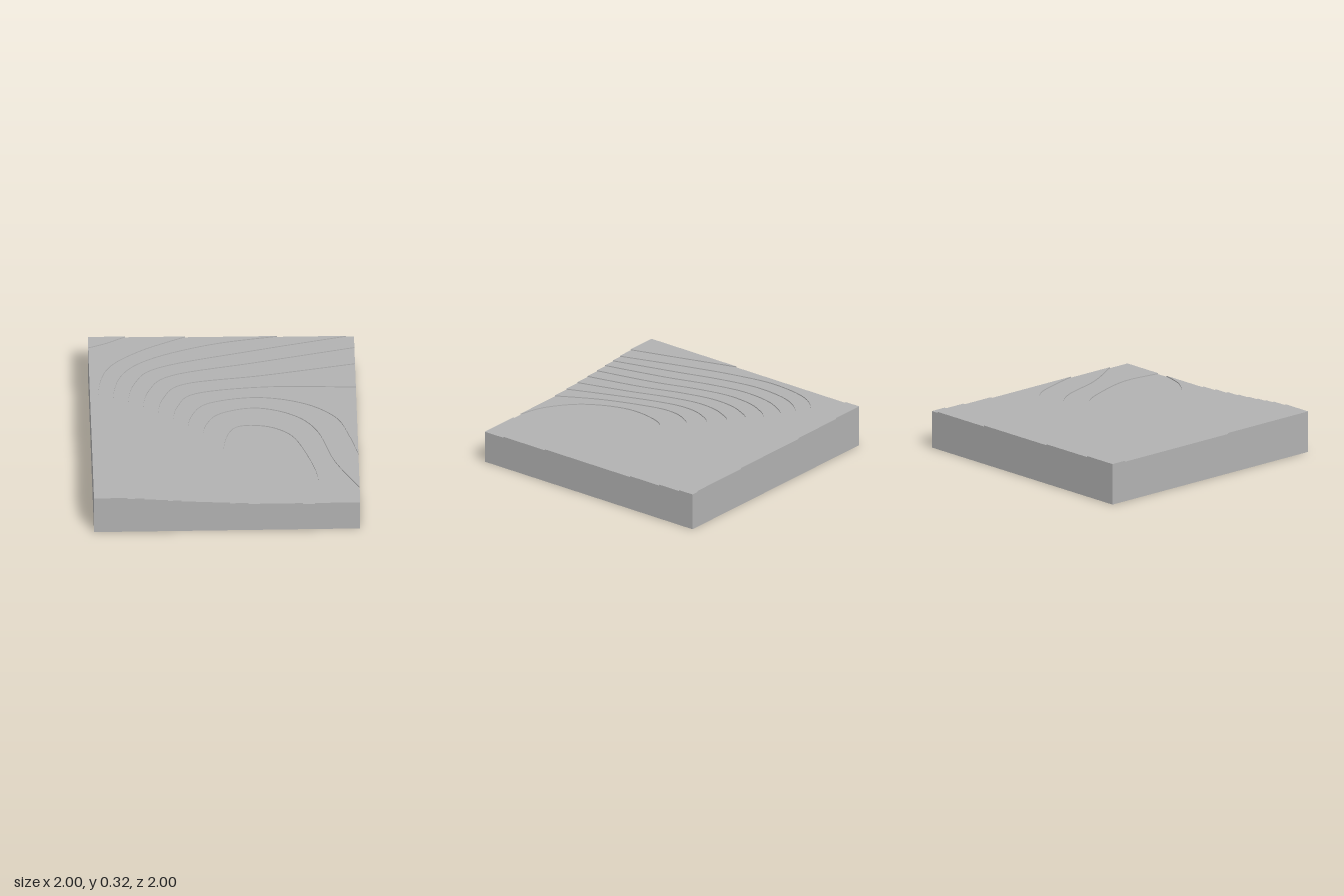
import * as THREE from 'three';

const TOP = 0.318, STEP = 0.008;

// Smooth contour line through [x, z] points, kept inside the square block
function contour(points) {
  const curve = new THREE.SplineCurve(points.map(([x, z]) => new THREE.Vector2(x, z)));
  return curve.getPoints(points.length * 6).map((p) => p.clampScalar(-1, 1));
}

// Edges of the two highest pieces of ground
const frontRise = contour([[-0.75, 1], [-0.87, 0.6], [-1, 0.18]]);
const backRise = contour([[-1, -0.87], [-0.87, -0.92], [-0.72, -1]]);

// The slope contours blend from an outer guide to an inner one, then run out to the border
const outerGuide = [[-0.78, 0.5], [-0.89, 0.1], [-0.94, -0.25], [-0.87, -0.6], [-0.63, -0.82]];
const innerGuide = [[0, 0.7], [-0.11, 0.4], [-0.16, 0.18], [-0.13, 0.01], [-0.02, -0.12]];
const tails = [
  [[-0.27, -1]],
  [[-0.08, -0.91], [0.42, -1]],
  [[0.25, -0.84], [0.94, -1]],
  [[0.25, -0.7], [1, -0.87]],
  [[0.3, -0.55], [1, -0.68]],
  [[0.35, -0.42], [1, -0.4]],
  [[0.25, -0.3], [0.6, -0.22], [0.84, -0.04], [0.94, 0.2], [1, 0.42]],
  [[0.25, -0.18], [0.53, -0.08], [0.7, 0.12], [0.82, 0.49], [1, 0.82]],
];
const slopes = tails.map((tail, i) => {
  const t = i / (tails.length - 1);
  const bulge = Math.sin(Math.PI * t);
  const start = [THREE.MathUtils.lerp(-0.62, 0.16, t) - 0.06 * bulge, 1];
  const bend = outerGuide.map(([x, z], j) => [
    THREE.MathUtils.lerp(x, innerGuide[j][0], t),
    THREE.MathUtils.lerp(z, innerGuide[j][1], t) - 0.04 * bulge,
  ]);
  return contour([start, ...bend, ...tail]);
});

// Rim of the lowest basin, open in a narrow gap at the front
const basinRim = contour([[0.57, 1], [0.35, 0.93], [0.12, 0.73], [-0.01, 0.4], [0.06, 0.07],
  [0.28, 0.03], [0.48, 0.13], [0.59, 0.33], [0.69, 0.68], [0.66, 1]]);

const contours = [[...frontRise, ...backRise], ...slopes, basinRim];

const onBorder = (a, b) => ['x', 'y'].some((k) => Math.abs(a[k]) > 0.9999 && Math.abs(a[k] - b[k]) < 1e-6);

// One level: flat top, a small riser along its lower contour, block walls along the border
function terrace(level, lower, corners, upper) {
  const y = TOP - STEP * level;
  const outline = [...lower, ...corners.map(([x, z]) => new THREE.Vector2(x, z)), ...[...upper].reverse()];
  const pos = [];
  const put = (p, h) => pos.push(p.x, h, p.y);

  const flat = outline.map((p) => new THREE.Vector2(p.x, -p.y));
  for (const tri of THREE.ShapeUtils.triangulateShape(flat, [])) {
    const [a, b, c] = tri.map((i) => flat[i]);
    const ccw = (b.x - a.x) * (c.y - a.y) - (b.y - a.y) * (c.x - a.x) > 0;
    for (const i of ccw ? tri : [tri[0], tri[2], tri[1]]) put(outline[i], y);
  }

  outline.forEach((a, i) => {
    const b = outline[(i + 1) % outline.length];
    const border = onBorder(a, b);
    if (!border && i >= lower.length - 1) return;
    const foot = border ? 0 : y - STEP;
    put(a, foot); put(b, foot); put(b, y);
    put(a, foot); put(b, y); put(a, y);
  });

  const geometry = new THREE.BufferGeometry();
  geometry.setAttribute('position', new THREE.Float32BufferAttribute(pos, 3));
  geometry.computeVertexNormals();
  return geometry;
}

export function createModel() {
  const group = new THREE.Group();
  group.name = 'terracedTerrain';
  const grey = new THREE.MeshStandardMaterial({ color: 0xb2b2b2 });
  grey.name = 'grey';
  const add = (name, geometry) => {
    const mesh = new THREE.Mesh(geometry, grey);
    mesh.name = name;
    group.add(mesh);
  };

  // Highest ground: two separate pieces on the -x side
  add('frontHighGround', terrace(0, frontRise, [[-1, 1]], []));
  add('backHighGround', terrace(0, backRise, [[-1, -1]], []));

  // Terraces stepping down; two of them wrap a corner of the block
  const wrapped = { 4: [[1, -1]], 9: [[1, 1]] };
  for (let k = 1; k < contours.length; k++) {
    add(`terrace${k}`, terrace(k, contours[k], wrapped[k] ?? [], contours[k - 1]));
  }

  // Lowest basin
  add('basin', terrace(contours.length, [], [], basinRim));

  // Underside
  add('underside', new THREE.PlaneGeometry(2, 2).rotateX(Math.PI / 2));
  return group;
}
